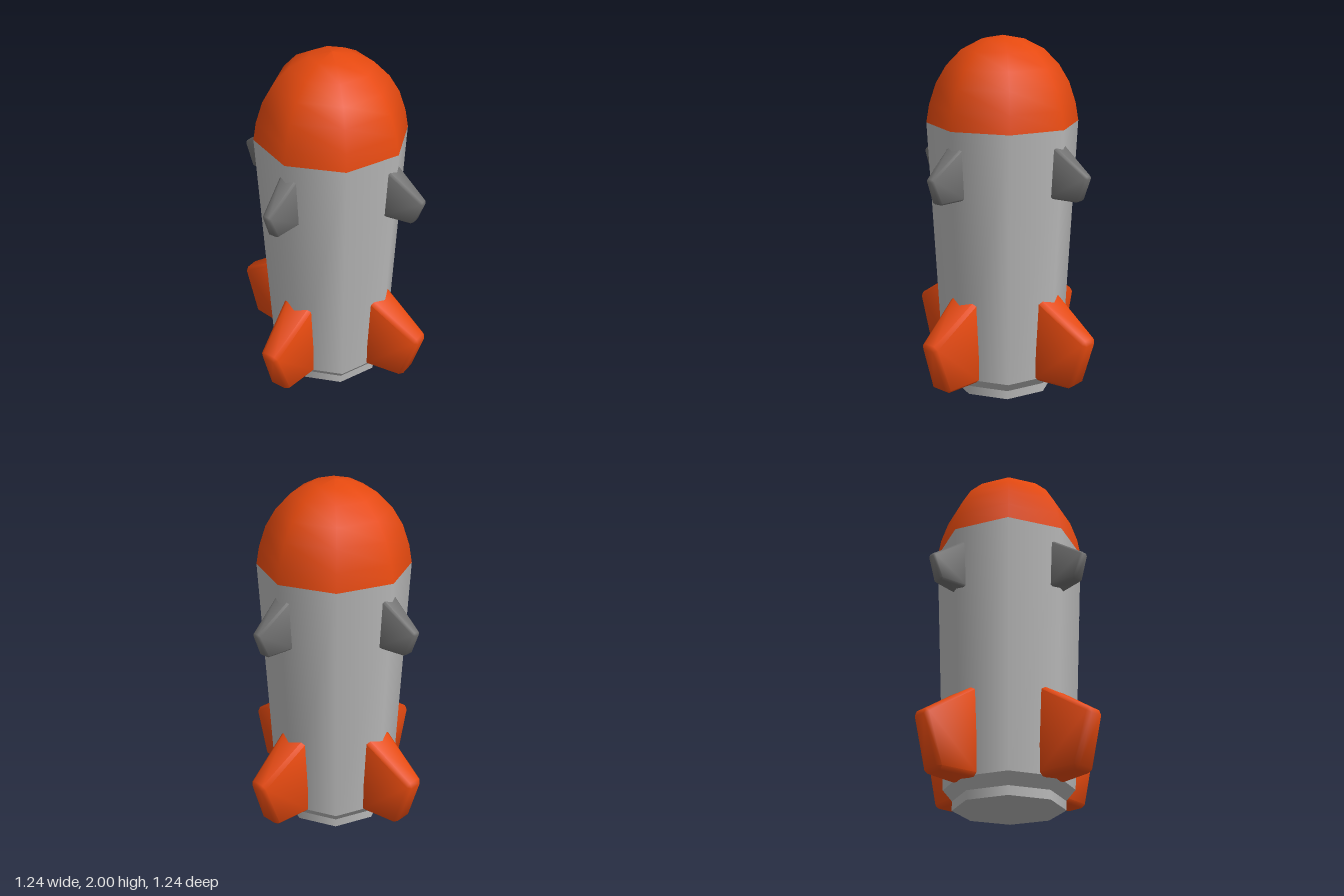
import * as THREE from 'three';
import { toCreasedNormals } from 'three/addons/utils/BufferGeometryUtils.js';
import { ConvexGeometry } from 'three/addons/geometries/ConvexGeometry.js';

const SIDES = 8;

const paint = (name, color) => {
  const material = new THREE.MeshStandardMaterial({ color });
  material.name = name;
  return material;
};

// Tapered fin pointing along +z with bevelled edges.
// profile: [radius, y] for inner bottom, outer bottom, outer top, inner top.
function finGeometry(profile, halfWidth, bevel) {
  const corner = (i, side) => {
    const [r, y] = profile[(i + 4) % 4];
    return new THREE.Vector3(side * halfWidth(r), y, r);
  };
  const points = [];
  for (let i = 0; i < 4; i++) {
    for (const side of [-1, 1]) {
      const c = corner(i, side);
      const edges = [corner(i - 1, side), corner(i + 1, side), corner(i, -side)]
        .map((p) => p.sub(c).setLength(bevel));
      // one inset point on each of the three faces meeting at this corner
      for (let k = 0; k < 3; k++) {
        points.push(c.clone().add(edges[k]).add(edges[(k + 1) % 3]));
      }
    }
  }
  return toCreasedNormals(new ConvexGeometry(points), 0.95);
}

export function createModel() {
  const model = new THREE.Group();
  model.name = 'rocket';
  const orange = paint('orange', 0xe5490f);
  const lightGrey = paint('light grey', 0xb8b8b8);
  const darkGrey = paint('dark grey', 0x707070);

  const add = (name, geometry, material, y = 0) => {
    const mesh = new THREE.Mesh(geometry, material);
    mesh.name = name;
    mesh.position.y = y;
    model.add(mesh);
    return mesh;
  };

  // Hull, widening upwards, with a chamfered tail and nozzle
  add('body', new THREE.CylinderGeometry(0.42, 0.35, 1.42, SIDES, 1, true), lightGrey, 0.82);
  add('tailChamfer', new THREE.CylinderGeometry(0.35, 0.3, 0.06, SIDES, 1, true), lightGrey, 0.08);
  add('nozzle', new THREE.CylinderGeometry(0.3, 0.3, 0.05, SIDES), lightGrey, 0.025);

  // Faceted nose dome
  const nose = [[0.42, 1.53], [0.403, 1.63], [0.365, 1.745], [0.308, 1.84],
    [0.225, 1.925], [0.117, 1.98], [0, 2]].map(([r, y]) => new THREE.Vector2(r, y));
  add('nose', new THREE.LatheGeometry(nose, SIDES), orange);

  // Four large tail fins and four small upper fins
  const tailFin = finGeometry(
    [[0.3, 0.1], [0.535, 0.1], [0.628, 0.39], [0.3, 0.605]],
    (r) => 0.096 - (r - 0.3) * 0.13, 0.02);
  const upperFin = finGeometry(
    [[0.36, 1.16], [0.535, 1.16], [0.59, 1.3], [0.36, 1.465]],
    (r) => 0.056 - (r - 0.36) * 0.135, 0.011);
  ['front', 'left', 'back', 'right'].forEach((side, i) => {
    add(side + 'TailFin', tailFin, orange).rotation.y = i * Math.PI / 2;
    add(side + 'UpperFin', upperFin, darkGrey).rotation.y = i * Math.PI / 2;
  });

  return model;
}
